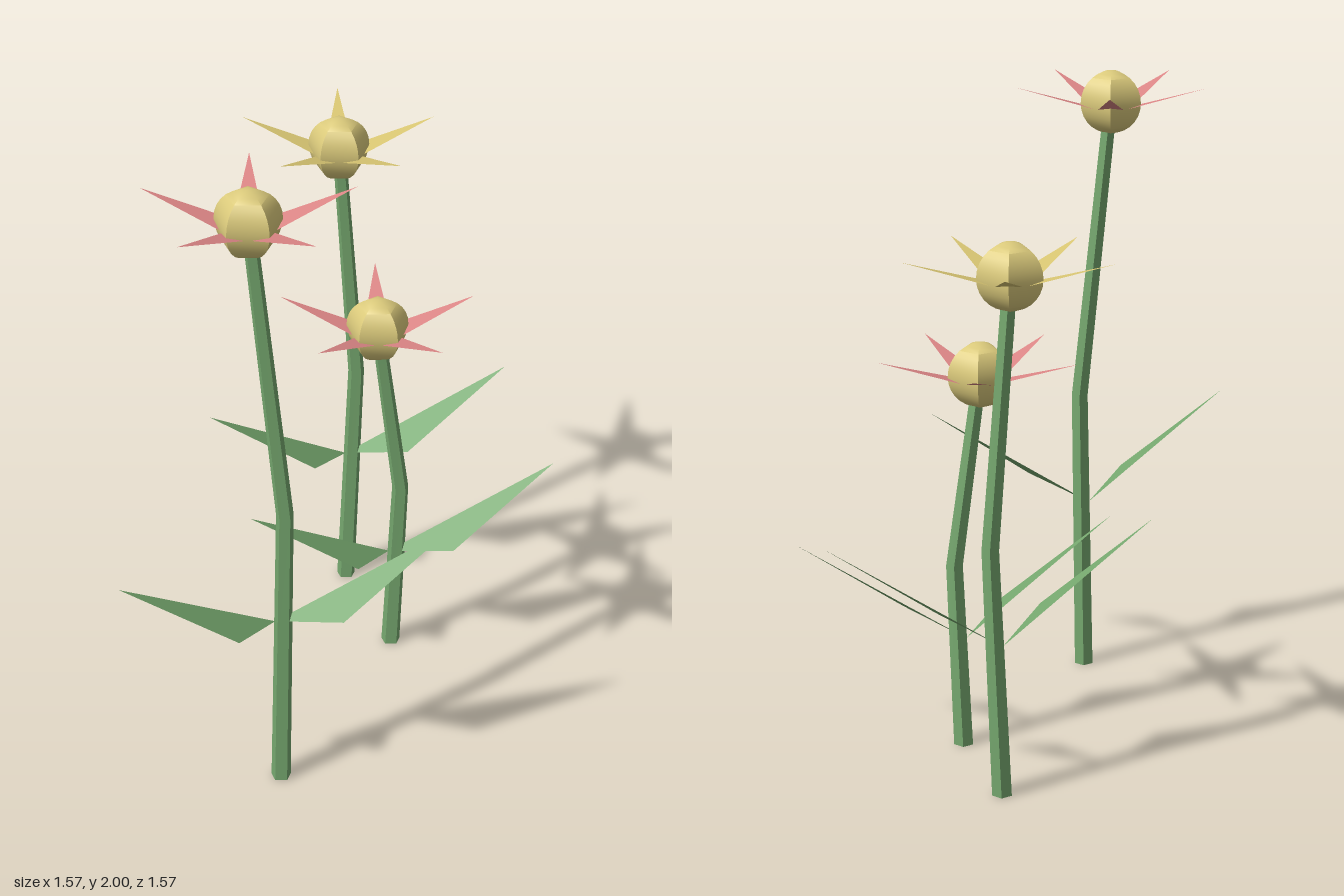
import * as THREE from 'three';
import { toCreasedNormals } from 'three/addons/utils/BufferGeometryUtils.js';

const SIDES = 5;

function material(name, color, side = THREE.FrontSide) {
  const m = new THREE.MeshStandardMaterial({ color, side });
  m.name = name;
  return m;
}

function mesh(name, geometry, mat) {
  const m = new THREE.Mesh(geometry, mat);
  m.name = name;
  return m;
}

function triangles(points) {
  const g = new THREE.BufferGeometry();
  g.setAttribute('position', new THREE.Float32BufferAttribute(points, 3));
  g.computeVertexNormals();
  return g;
}

// Bent, tapering five-sided stem through [x, y, z, radius] sections
function stemGeometry(sections) {
  const positions = [];
  const index = [];
  for (const [x, y, z, r] of sections) {
    for (let i = 0; i < SIDES; i++) {
      const a = (i / SIDES) * Math.PI * 2;
      positions.push(x + r * Math.cos(a), y, z + r * Math.sin(a));
    }
  }
  for (let s = 0; s < sections.length - 1; s++) {
    for (let i = 0; i < SIDES; i++) {
      const a = s * SIDES + i;
      const b = s * SIDES + ((i + 1) % SIDES);
      index.push(a, a + SIDES, b, b, a + SIDES, b + SIDES);
    }
  }
  // Bottom cap
  for (let i = 1; i < SIDES - 1; i++) index.push(0, i, i + 1);
  const g = new THREE.BufferGeometry();
  g.setAttribute('position', new THREE.Float32BufferAttribute(positions, 3));
  g.setIndex(index);
  return toCreasedNormals(g, 0.8);
}

export function createModel() {
  const green = material('stem green', 0x76a86f);
  const leafGreen = material('leaf green', 0x76a86f, THREE.DoubleSide);
  const gold = material('flower head gold', 0xdccb7c);
  const pink = material('petal pink', 0xdc8686, THREE.DoubleSide);
  const yellow = material('petal yellow', 0xd8c572, THREE.DoubleSide);

  // Shared parts: ball with a corner toward +x, one petal, one leaf per side
  const headGeometry = toCreasedNormals(
    new THREE.SphereGeometry(0.1, SIDES, 14).rotateY(Math.PI), 0.8);
  const petalGeometry = triangles([0.06, -0.017, 0.041, 0.06, -0.017, -0.041, 0.315, 0.06, 0]);
  const leafGeometry = (s) => {
    const base = [0, 0, 0], mid = [s * 0.16, 0.065, 0.158], tip = [s * 0.505, 0.31, 0.13];
    return triangles(s > 0 ? [...base, ...mid, ...tip] : [...base, ...tip, ...mid]);
  };

  const flowers = [
    { name: 'tallFlower', petals: pink, base: [-0.27, 0, 0.515], bend: [-0.25, 0.94, 0.505],
      head: [-0.343, 1.9, 0.483], leaf: [-0.28, 0.57, 0.5] },
    { name: 'backFlower', petals: yellow, base: [0.277, 0, -0.455], bend: [0.313, 0.78, -0.472],
      head: [0.253, 1.593, -0.483], leaf: [0.277, 0.475, -0.468] },
    { name: 'shortFlower', petals: pink, base: [0.29, 0, -0.046], bend: [0.313, 0.59, -0.043],
      head: [0.228, 1.187, -0.04], leaf: [0.28, 0.35, -0.05] },
  ];

  const model = new THREE.Group();
  model.name = 'flowers';
  for (const f of flowers) {
    const flower = new THREE.Group();
    flower.name = f.name;

    flower.add(mesh('stem', stemGeometry([[...f.base, 0.031], [...f.bend, 0.027], [...f.head, 0.022]]), green));

    const leaves = new THREE.Group();
    leaves.name = 'leaves';
    leaves.position.set(...f.leaf);
    leaves.add(mesh('leftLeaf', leafGeometry(1), leafGreen), mesh('rightLeaf', leafGeometry(-1), leafGreen));
    flower.add(leaves);

    const blossom = new THREE.Group();
    blossom.name = 'blossom';
    blossom.position.set(...f.head);
    blossom.add(mesh('flowerHead', headGeometry, gold));
    for (let i = 0; i < SIDES; i++) {
      const petal = mesh('petal', petalGeometry, f.petals);
      petal.rotation.y = (i / SIDES) * Math.PI * 2;
      blossom.add(petal);
    }
    flower.add(blossom);
    model.add(flower);
  }
  return model;
}
